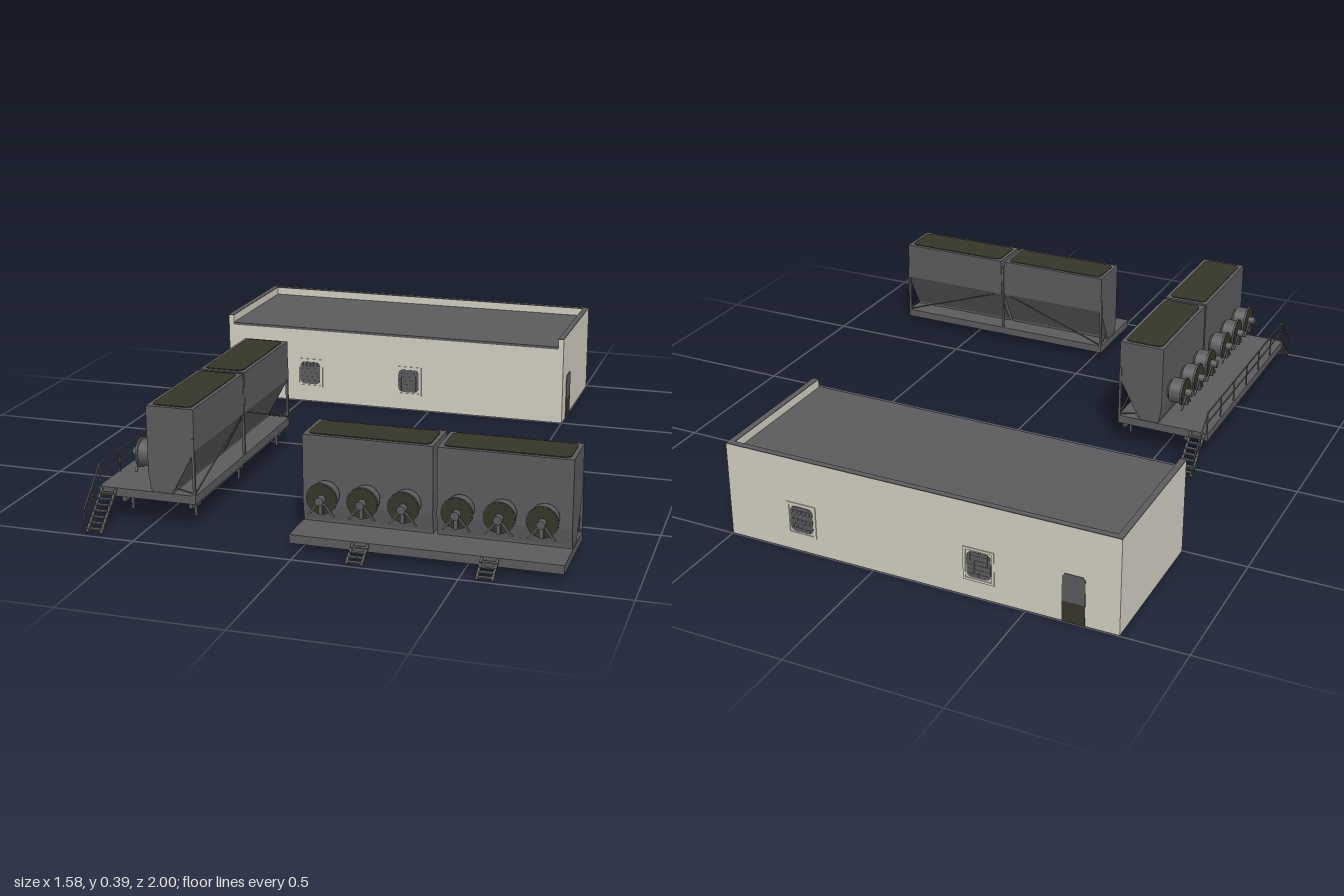
import * as THREE from 'three';

const mat = (name, color) => Object.assign(new THREE.MeshStandardMaterial({ color }), { name });

export function createModel() {
  const steel = mat('grey steel', 0x5b5b5d);
  const grille = mat('dark olive grille', 0x353529);
  const plaster = mat('beige plaster', 0xd1cdc1);
  const root = new THREE.Group();

  const add = (g, name, geo, m, x = 0, y = 0, z = 0) => {
    const mesh = new THREE.Mesh(geo, m);
    mesh.name = name;
    mesh.position.set(x, y, z);
    g.add(mesh);
    return mesh;
  };
  // Box given by its limits on each axis
  const box = (g, name, m, x0, x1, y0, y1, z0, z1) =>
    add(g, name, new THREE.BoxGeometry(x1 - x0, y1 - y0, z1 - z0), m, (x0 + x1) / 2, (y0 + y1) / 2, (z0 + z1) / 2);
  // Square bar between two points of the same group
  const bar = (g, name, p, q, t = 0.005) => {
    const a = new THREE.Vector3(...p), b = new THREE.Vector3(...q);
    const mesh = add(g, name, new THREE.BoxGeometry(t, t, a.distanceTo(b)), steel);
    mesh.position.copy(a).add(b).multiplyScalar(0.5);
    mesh.quaternion.setFromRotationMatrix(new THREE.Matrix4().lookAt(b, a, new THREE.Vector3(0, 1, 0)));
  };
  const extrude = (shape, depth) => new THREE.ExtrudeGeometry(shape, { depth, bevelEnabled: false });
  const polygon = points => new THREE.Shape(points.map(p => new THREE.Vector2(...p)));
  const roundedRect = (w, h, r) => {
    const s = new THREE.Shape();
    s.moveTo(-w / 2 + r, -h / 2);
    s.lineTo(w / 2 - r, -h / 2).quadraticCurveTo(w / 2, -h / 2, w / 2, -h / 2 + r);
    s.lineTo(w / 2, h / 2 - r).quadraticCurveTo(w / 2, h / 2, w / 2 - r, h / 2);
    s.lineTo(-w / 2 + r, h / 2).quadraticCurveTo(-w / 2, h / 2, -w / 2, h / 2 - r);
    s.lineTo(-w / 2, -h / 2 + r).quadraticCurveTo(-w / 2, -h / 2, -w / 2 + r, -h / 2);
    return s;
  };

  // ---- Building: open-bottomed walls, recessed roof, parapet on three sides ----
  const hall = new THREE.Group();
  hall.name = 'building';
  root.add(hall);
  const X0 = -0.79, X1 = 0.5, Z0 = -0.997, Z1 = -0.5, T = 0.02;
  box(hall, 'backWall', plaster, X0, X1, 0, 0.312, Z0, Z0 + T);
  box(hall, 'frontWall', plaster, X0, X1, 0, 0.277, Z1 - T, Z1);
  for (const x of [X0, X1 - T]) {
    box(hall, 'sideWall', plaster, x, x + T, 0, 0.312, Z0 + T, Z1);
    box(hall, 'sideParapetCap', steel, x, x + T, 0.312, 0.315, Z0, Z1);
  }
  box(hall, 'backParapetCap', steel, X0 + T, X1 - T, 0.312, 0.315, Z0, Z0 + T);
  box(hall, 'roof', steel, X0 + T, X1 - T, 0.277, 0.286, Z0 + T, Z1 + 0.004);

  // Barred vent window, set through the wall and visible from both sides
  const addWindow = (x, z) => {
    const g = new THREE.Group();
    g.name = 'window';
    g.position.set(x, 0.11, z);
    hall.add(g);
    add(g, 'windowPane', extrude(roundedRect(0.078, 0.086, 0.02), 0.023), steel, 0, 0, -0.0115);
    for (const s of [-1, 1]) {
      box(g, 'frameSide', plaster, s * 0.046 - 0.004, s * 0.046 + 0.004, -0.054, 0.054, -0.0128, 0.0128);
      box(g, 'frameRail', plaster, -0.05, 0.05, s * 0.051 - 0.004, s * 0.051 + 0.004, -0.0128, 0.0128);
    }
    for (let i = -2; i <= 2; i++) {
      box(g, 'windowBar', steel, i * 0.014 - 0.001, i * 0.014 + 0.001, -0.04, 0.04, -0.0125, 0.0125);
      box(g, 'windowCrossBar', steel, -0.036, 0.036, i * 0.015 - 0.001, i * 0.015 + 0.001, -0.0125, 0.0125);
    }
  };
  for (const x of [-0.466, -0.08]) addWindow(x, Z1 - T / 2);
  for (const x of [0.245, -0.35]) addWindow(x, Z0 + T / 2);

  // Doors: dark lower panel, grey upper panel with clipped corners
  const addDoor = (x, z, turn) => {
    const g = new THREE.Group();
    g.name = 'door';
    g.position.set(x, 0, z);
    g.rotation.y = turn;
    hall.add(g);
    box(g, 'doorLower', grille, -0.036, 0.036, 0, 0.068, -0.022, 0.002);
    const top = polygon([[-0.036, 0.068], [0.036, 0.068], [0.036, 0.15], [0.028, 0.16], [-0.028, 0.16], [-0.036, 0.15]]);
    add(g, 'doorUpper', extrude(top, 0.024), steel, 0, 0, -0.022);
  };
  addDoor(X1, -0.606, Math.PI / 2);
  addDoor(-0.648, Z0, Math.PI);

  // ---- Cooler units: length along x, fans towards +z, deck top at y = 0 ----
  const HALF = 0.41;
  const profile = polygon([[0, 0.272], [0, 0.14], [0.072, 0.008], [0.146, 0.008], [0.153, 0.06], [0.153, 0.272]]);

  const addFan = (unit, x) => {
    const g = new THREE.Group();
    g.name = 'fan';
    g.position.set(x, 0.096, 0.153);
    unit.add(g);
    const cyl = (name, r0, r1, len, z, m) =>
      add(g, name, new THREE.CylinderGeometry(r1, r0, len, 24).rotateX(Math.PI / 2), m, 0, 0, z + len / 2);
    cyl('fanBase', 0.03, 0.042, 0.012, 0, steel);
    cyl('fanDrum', 0.042, 0.042, 0.044, 0.01, steel);
    cyl('fanFlange', 0.048, 0.048, 0.006, 0.05, steel);
    cyl('fanGrille', 0.046, 0.046, 0.002, 0.0555, grille);
    cyl('fanMotor', 0.013, 0.013, 0.024, 0.056, steel);
    for (const s of [-1, 1]) bar(g, 'motorStrut', [0, 0, 0.061], [s * 0.04, -0.052, 0.058], 0.006);
    box(g, 'motorBracket', steel, -0.006, 0.006, -0.046, 0, 0.058, 0.066);
  };

  // Ladder running out from a deck edge to the ground, +z outwards
  const addLadder = (unit, x, z, turn, drop, run) => {
    const g = new THREE.Group();
    g.name = 'ladder';
    g.position.set(x, 0, z);
    g.rotation.y = turn;
    unit.add(g);
    const n = Math.round(drop / 0.02) + 1;
    for (const s of [-1, 1]) bar(g, 'ladderRail', [s * 0.023, -0.005, 0], [s * 0.023, 0.005 - drop, run - 0.003], 0.007);
    for (let i = 1; i <= n; i++) {
      const k = i / (n + 1);
      box(g, 'rung', steel, -0.023, 0.023, -drop * k - 0.002, -drop * k + 0.002, run * k - 0.006, run * k + 0.006);
    }
  };

  const makeUnit = (name, depth) => {
    const u = new THREE.Group();
    u.name = name;
    root.add(u);
    box(u, 'deck', steel, -HALF, HALF, -0.014, 0, 0, depth);
    for (const z of [0, depth - 0.01]) box(u, 'deckBeam', steel, -HALF, HALF, -0.027, -0.001, z, z + 0.01);
    for (const x of [-HALF, HALF - 0.01]) box(u, 'deckEndBeam', steel, x, x + 0.01, -0.027, -0.001, 0, depth);
    for (const s of [-1, 1]) {
      // Hopper casing with sloped back
      const len = 0.401, cx = s * 0.2065;
      add(u, 'hopper', extrude(profile, len).rotateY(-Math.PI / 2), steel, cx + len / 2, 0, 0);
      box(u, 'hopperFoot', steel, cx - len / 2, cx + len / 2, 0, 0.01, 0.074, 0.144);
      // Top grille
      const top = extrude(roundedRect(0.375, 0.128, 0.022), 0.003).rotateX(-Math.PI / 2);
      add(u, 'topGrille', top, grille, cx, 0.2715, 0.0765);
      for (const x of [0.08, 0.205, 0.33]) addFan(u, s * x);
      // Rear posts and braces
      box(u, 'endPost', steel, s * 0.406 - 0.004, s * 0.406 + 0.004, 0, 0.18, 0, 0.008);
      bar(u, 'rearBrace', [s * 0.012, 0.14, 0.003], [s * 0.404, 0.004, 0.003], 0.004);
      bar(u, 'endBrace', [s * 0.405, 0.006, 0.006], [s * 0.405, 0.02, 0.075], 0.004);
    }
    box(u, 'middlePost', steel, -0.004, 0.004, 0, 0.25, 0, 0.008);
    return u;
  };

  // Front unit, low deck
  const front = makeUnit('frontCooler', 0.273);
  front.position.set(0.38, 0.05, 0.66);
  for (const x of [-0.19, 0.195]) addLadder(front, x, 0.273, 0, 0.05, 0.067);

  // Side unit, raised deck on legs with railing and end ladders
  const side = makeUnit('sideCooler', 0.32);
  side.position.set(-0.35, 0.112, 0.46);
  side.rotation.y = -Math.PI / 2;
  for (const x of [-0.35, 0, 0.35]) {
    for (const z of [0.025, 0.235]) box(side, 'leg', steel, x - 0.004, x + 0.004, -0.085, -0.02, z - 0.004, z + 0.004);
    box(side, 'crossBeam', steel, x - 0.006, x + 0.006, -0.048, -0.012, 0.01, 0.25);
  }
  for (const z of [0.015, 0.235]) box(side, 'longBeam', steel, -0.4, 0.4, -0.045, -0.012, z, z + 0.012);
  for (let i = -3; i <= 3; i++) bar(side, 'railPost', [i * 0.135, 0, 0.315], [i * 0.135, 0.074, 0.315], 0.004);
  for (const y of [0.037, 0.074]) bar(side, 'handRail', [-0.405, y, 0.315], [0.405, y, 0.315], 0.004);
  for (const s of [-1, 1]) {
    addLadder(side, s * HALF, 0.285, s * Math.PI / 2, 0.112, 0.118);
    bar(side, 'stairRail', [s * 0.405, 0.074, 0.315], [s * 0.522, -0.036, 0.315], 0.004);
    bar(side, 'stairRailPost', [s * 0.522, -0.036, 0.315], [s * 0.522, -0.108, 0.311], 0.004);
    bar(side, 'stairMidPost', [s * 0.465, 0.018, 0.315], [s * 0.465, -0.055, 0.311], 0.004);
  }
  return root;
}
